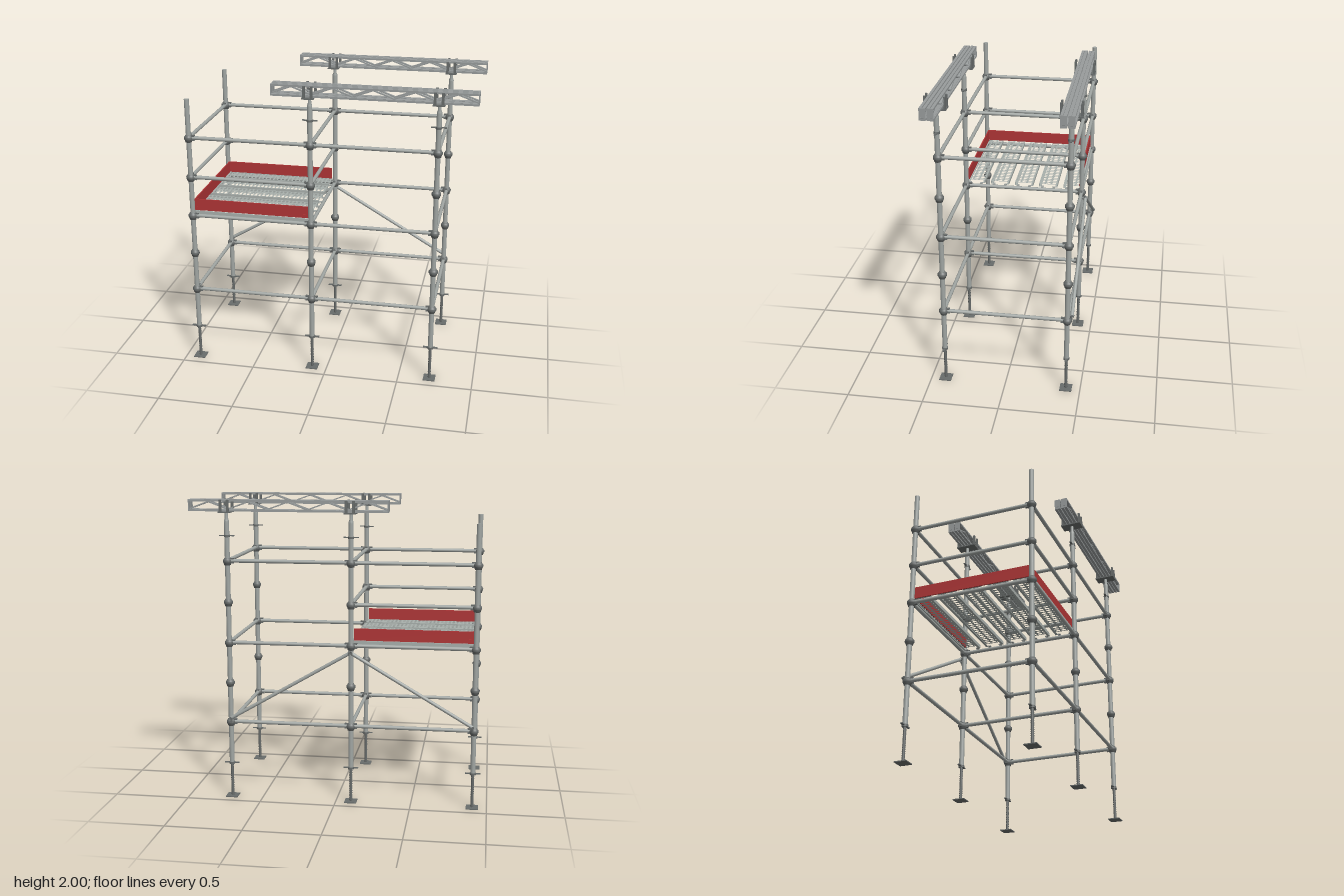
import * as THREE from 'three';

const mat = (name, color) => {
  const m = new THREE.MeshStandardMaterial({ color });
  m.name = name;
  return m;
};

export function createModel() {
  const steel = mat('galvanised steel', 0xa0a5a2);
  const dark = mat('dark cast steel', 0x686c6b);
  const red = mat('red toe board', 0xb03536);
  const alu = mat('beam aluminium', 0x989c9c);
  const sheet = mat('perforated deck sheet', 0xa9b0ac);
  sheet.side = THREE.DoubleSide;

  const root = new THREE.Group();
  root.name = 'scaffold';
  const group = (name, parent = root) => {
    const g = new THREE.Group();
    g.name = name;
    parent.add(g);
    return g;
  };
  const add = (parent, name, geo, material, x = 0, y = 0, z = 0) => {
    const m = new THREE.Mesh(geo, material);
    m.name = name;
    m.position.set(x, y, z);
    parent.add(m);
    return m;
  };
  const box = (parent, name, material, w, h, d, x, y, z) =>
    add(parent, name, new THREE.BoxGeometry(w, h, d), material, x, y, z);
  const up = new THREE.Vector3(0, 1, 0);
  // Round bar between two points
  const bar = (parent, name, material, a, b, r, sides = 14) => {
    const p = new THREE.Vector3(...a), q = new THREE.Vector3(...b);
    const dir = q.clone().sub(p);
    const m = add(parent, name, new THREE.CylinderGeometry(r, r, dir.length(), sides), material);
    m.position.copy(p).add(q).multiplyScalar(0.5);
    m.quaternion.setFromUnitVectors(up, dir.normalize());
    return m;
  };
  const lathe = (pts, sides = 16) =>
    new THREE.LatheGeometry(pts.map(p => new THREE.Vector2(...p)), sides);

  const XS = [-0.905, -0.1, 0.71], ZS = [-0.405, 0.405];
  const LEVELS = [0.52, 0.79, 1.06, 1.33, 1.6];

  // Shared shapes: cup joint, threaded rod, tapering head stem
  const cupGeo = lathe([[0.016, -0.024], [0.021, -0.024], [0.027, -0.006], [0.03, -0.004],
    [0.03, 0.01], [0.026, 0.012], [0.021, 0.023], [0.016, 0.023]]);
  const thread = [];
  for (let i = 0; i <= 18; i++) {
    const y = 0.005 + i * 0.0128;
    thread.push([0.0085, y], [0.011, y + 0.0064]);
  }
  const rodGeo = lathe(thread, 12);
  const stemGeo = lathe([[0.0165, 1.85], [0.0165, 1.865], [0.011, 1.878], [0.011, 1.925]]);

  const wingNut = (parent, y) => {
    add(parent, 'nutCollar', new THREE.CylinderGeometry(0.02, 0.02, 0.014, 12), dark, 0, y, 0);
    box(parent, 'nutWings', dark, 0.098, 0.006, 0.014, 0, y + 0.002, 0);
  };

  // Standards with base jacks, joints and beam heads
  XS.forEach((x, i) => ZS.forEach(z => {
    const post = group('standard');
    post.position.set(x, 0, z);
    box(post, 'basePlate', dark, 0.08, 0.006, 0.08, 0, 0.003, 0);
    add(post, 'baseJackRod', rodGeo, dark);
    wingNut(post, 0.235);
    bar(post, 'tube', steel, [0, 0.235, 0], [0, 1.862, 0], 0.0165, 18);
    LEVELS.forEach(y => add(post, 'cupJoint', cupGeo, dark, 0, y, 0));
    if (i === 0) return;
    wingNut(post, 1.765);
    add(post, 'headStem', stemGeo, steel);
    box(post, 'headPlate', dark, 0.075, 0.008, 0.138, 0, 1.921, 0);
    for (const sx of [-1, 1]) for (const sz of [-1, 1]) {
      box(post, 'headProng', dark, 0.016, 0.075, 0.012, sx * 0.024, 1.9625, sz * 0.061);
    }
  }));

  // Horizontal tube with blade ends locked into the cups
  const rail = (name, a, b) => {
    const g = group(name);
    bar(g, 'railTube', steel, a, b, 0.0125);
    const alongX = a[2] === b[2];
    for (const [p, s] of [[a, 1], [b, -1]]) {
      const o = s * 0.03;
      box(g, 'railBlade', dark, alongX ? 0.022 : 0.016, 0.036, alongX ? 0.016 : 0.022,
        p[0] + (alongX ? o : 0), p[1], p[2] + (alongX ? 0 : o));
    }
  };
  for (const y of [0.525, 1.065, 1.335, 1.605]) {
    const guard = y === 1.335; // mid guard rail only surrounds the deck bay
    for (const z of ZS) {
      rail('ledger', [XS[0], y, z], [XS[1], y, z]);
      if (!guard) rail('ledger', [XS[1], y, z], [XS[2], y, z]);
    }
    XS.forEach((x, i) => {
      if (!(guard && i === 2)) rail('transom', [x, y, ZS[0]], [x, y, ZS[1]]);
    });
  }

  // Rear diagonal braces with end hooks
  for (const x of [XS[0], XS[2]]) {
    const g = group('diagonalBrace');
    const s = Math.sign(XS[1] - x);
    const low = [x + s * 0.008, 0.555, -0.434], high = [XS[1] - s * 0.008, 1.02, -0.434];
    bar(g, 'braceTube', steel, low, high, 0.0115);
    for (const p of [low, high]) {
      bar(g, 'braceHook', dark, [p[0], p[1], -0.405], [p[0], p[1], -0.448], 0.008, 10);
      bar(g, 'bracePin', dark, [p[0], p[1], -0.43], [p[0], p[1] + (p === low ? -0.03 : 0.012), -0.43], 0.007, 10);
    }
  }

  // Deck planks: perforated top sheet, side webs and bottom lips
  const L = 0.77, W = 0.128, cols = 28, rows = 3;
  const top = new THREE.Shape();
  top.moveTo(-L / 2, -W / 2).lineTo(L / 2, -W / 2).lineTo(L / 2, W / 2).lineTo(-L / 2, W / 2).closePath();
  for (let c = 0; c < cols; c++) for (let r = 0; r < rows; r++) {
    const hole = new THREE.Path();
    hole.absellipse((c + 0.5 - cols / 2) * 0.0272, (r - 1) * 0.041, 0.0095, 0.0165, 0, Math.PI * 2, true);
    top.holes.push(hole);
  }
  const topGeo = new THREE.ShapeGeometry(top, 5).rotateX(-Math.PI / 2);
  for (let i = -2; i <= 2; i++) {
    const plank = group('deckPlank');
    plank.position.set(-0.503, 0, i * 0.17);
    add(plank, 'perforatedTop', topGeo, sheet, 0, 1.098, 0);
    for (const s of [-1, 1]) {
      box(plank, 'sideWeb', sheet, L, 0.022, 0.003, 0, 1.087, s * (W / 2 - 0.0015));
      box(plank, 'bottomLip', sheet, L, 0.003, 0.016, 0, 1.0775, s * (W / 2 - 0.008));
      for (const e of [-1, 1]) {
        box(plank, 'endHook', steel, 0.022, 0.006, 0.018, e * (L / 2 + 0.006), 1.08, s * 0.04);
      }
    }
  }

  // Toe boards on three sides of the deck, with corner clips
  const toe = group('toeBoards');
  for (const s of [-1, 1]) {
    box(toe, 'sideToeBoard', red, 0.775, 0.078, 0.008, -0.507, 1.138, s * 0.39);
    for (const x of [-0.862, -0.15]) {
      box(toe, 'toeBoardClip', red, 0.024, 0.026, 0.004, x, 1.113, s * 0.396);
    }
  }
  box(toe, 'endToeBoard', red, 0.008, 0.078, 0.776, -0.89, 1.138, 0);

  // Paired lattice beams resting in the heads
  const x0 = -0.34, x1 = 0.95, bays = 10, step = (x1 - x0) / bays, mid = (x0 + x1) / 2;
  for (const z of ZS) for (const s of [-1, 1]) {
    const beam = group('latticeBeam');
    beam.position.z = z + s * 0.0235;
    for (const [y, lip] of [[1.994, -1], [1.931, 1]]) {
      box(beam, 'chord', alu, x1 - x0, 0.012, 0.017, mid, y, -0.0115);
      box(beam, 'chord', alu, x1 - x0, 0.012, 0.017, mid, y, 0.0115);
      box(beam, 'chordWeb', alu, x1 - x0, 0.006, 0.024, mid, y + lip * 0.004, 0);
    }
    for (const x of [x0, x1]) {
      box(beam, 'endPlate', alu, 0.006, 0.075, 0.04, x + (x < 0 ? 0.003 : -0.003), 1.9625, 0);
    }
    for (let i = 0; i < bays; i++) {
      const ya = i % 2 ? 1.986 : 1.939, yb = i % 2 ? 1.939 : 1.986;
      const m = box(beam, 'lacing', alu, Math.hypot(step, yb - ya), 0.008, 0.016,
        x0 + (i + 0.5) * step, 1.9625, 0);
      m.rotation.z = Math.atan2(yb - ya, step);
    }
  }
  return root;
}
